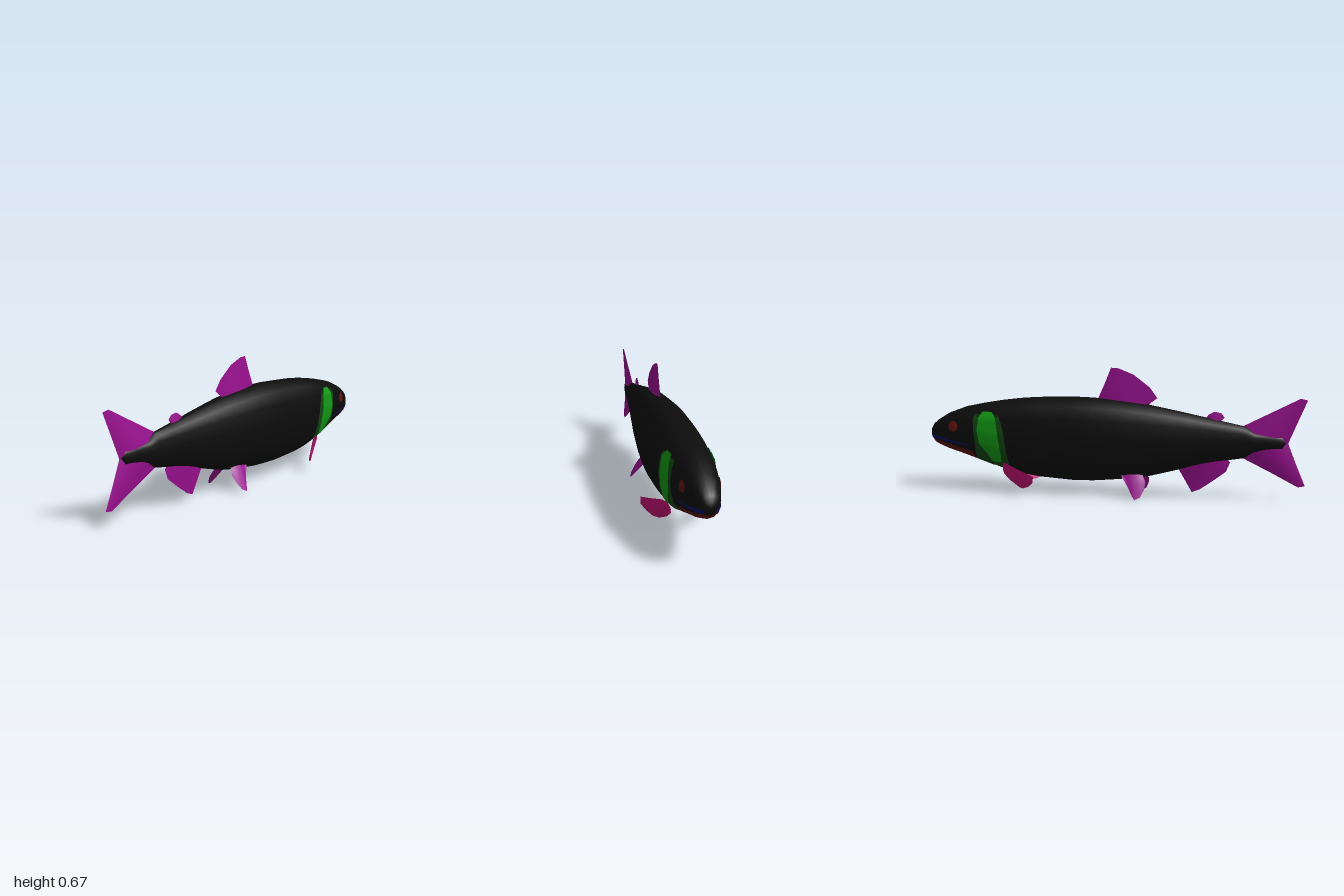
import * as THREE from 'three';

const mat = (name, color, side = THREE.DoubleSide) => {
  const m = new THREE.MeshStandardMaterial({ color, side });
  m.name = name;
  return m;
};

// Body stations: z, top y, bottom y, half width (head is at -z)
const STATIONS = [
  [-1, 0.335, 0.285, 0.025], [-0.985, 0.36, 0.262, 0.042], [-0.96, 0.382, 0.246, 0.057],
  [-0.9, 0.418, 0.222, 0.076], [-0.8, 0.455, 0.19, 0.092], [-0.7, 0.476, 0.155, 0.107],
  [-0.6, 0.493, 0.12, 0.117], [-0.5, 0.506, 0.096, 0.119], [-0.4, 0.514, 0.081, 0.12],
  [-0.2, 0.52, 0.068, 0.12], [-0.1, 0.517, 0.071, 0.118], [0, 0.51, 0.08, 0.113],
  [0.1, 0.499, 0.091, 0.106], [0.2, 0.485, 0.107, 0.095], [0.3, 0.466, 0.133, 0.083],
  [0.4, 0.446, 0.16, 0.07], [0.5, 0.425, 0.184, 0.057], [0.6, 0.404, 0.205, 0.045],
  [0.69, 0.386, 0.22, 0.034], [0.74, 0.355, 0.25, 0.028], [0.82, 0.345, 0.26, 0.022], [0.88, 0.338, 0.268, 0.016],
];
// Right half of the unit cross-section, top to bottom
const SECTION = [[0, 1], [0.375, 0.96], [0.725, 0.8], [0.94, 0.52], [1, 0.08],
  [0.94, -0.32], [0.79, -0.65], [0.46, -0.9], [0, -1]];

// Linear lookup of table rows by one rising column
function lookup(rows, key, value) {
  const i = Math.max(1, Math.min(rows.length - 1, rows.findIndex((r) => r[key] >= value)));
  const a = rows[i - 1], b = rows[i];
  const t = THREE.MathUtils.clamp((value - a[key]) / (b[key] - a[key]), 0, 1);
  return a.map((v, k) => v + (b[k] - v) * t);
}
const SECTION_UP = [...SECTION].reverse();

// Point on the flank at a given z and y, lifted outward a little
function flank(z, y, lift, side) {
  const [, top, bottom, w] = lookup(STATIONS, 0, z);
  const cy = (top + bottom) / 2, h = (top - bottom) / 2;
  const yu = THREE.MathUtils.clamp((y - cy) / h, -1, 1);
  const xu = lookup(SECTION_UP, 1, yu)[0];
  return [side * xu * (w + lift), cy + yu * (h + lift), z];
}

// Smooth surface through a grid of points f(i, j)
function grid(f, nu, nv) {
  const pos = [], idx = [];
  for (let i = 0; i <= nu; i++) for (let j = 0; j <= nv; j++) {
    pos.push(...f(i, j));
    if (i < nu && j < nv) {
      const a = i * (nv + 1) + j, b = a + nv + 1;
      idx.push(a, b, a + 1, b, b + 1, a + 1);
    }
  }
  const g = new THREE.BufferGeometry();
  g.setAttribute('position', new THREE.Float32BufferAttribute(pos, 3));
  g.setIndex(idx);
  g.computeVertexNormals();
  return g;
}

function bodyGeometry() {
  const loop = [...SECTION, ...SECTION.slice(1, -1).reverse().map(([x, y]) => [-x, y])];
  const n = loop.length, pos = [], idx = [];
  for (const [z, top, bottom, w] of STATIONS)
    for (const [x, y] of loop) pos.push(x * w, (top + bottom) / 2 + y * (top - bottom) / 2, z);
  const last = (STATIONS.length - 1) * n, nose = last + n, end = nose + 1;
  pos.push(0, 0.31, -1.003, 0, 0.303, 0.9);
  for (let j = 0; j < n; j++) {
    const k = (j + 1) % n;
    for (let o = 0; o < last; o += n) idx.push(o + j, o + k, o + n + j, o + k, o + n + k, o + n + j);
    idx.push(nose, k, j, end, last + j, last + k);
  }
  const g = new THREE.BufferGeometry();
  g.setAttribute('position', new THREE.Float32BufferAttribute(pos, 3));
  g.setIndex(idx);
  g.computeVertexNormals();
  return g;
}

// Fin spanning a root line to an outer edge, thick at the root and sharp at the rim
function fin(name, root, edge, thickness, normal, material) {
  const group = new THREE.Group();
  group.name = name;
  const n = edge.length - 1;
  for (const s of [1, -1]) {
    const g = grid((i, j) => {
      const v = j / 4, r = root(i / n);
      const t = s * thickness * Math.sqrt(Math.sin(Math.PI * i / n) + 1e-6) * (1 - v);
      return r.map((c, k) => c + (edge[i][k] - c) * v + normal[k] * t);
    }, n, 4);
    const mesh = new THREE.Mesh(g, material);
    mesh.name = name + 'Side';
    group.add(mesh);
  }
  return group;
}
const line = (a, b) => (t) => a.map((v, k) => v + (b[k] - v) * t);
const flat = (pts) => pts.map(([z, y]) => [0, y, z]);

export function createModel() {
  const fish = new THREE.Group();
  fish.name = 'fish';
  const black = mat('bodyBlack', 0x0c0c0c), purple = mat('finPurple', 0x9a1090);
  const pink = mat('pectoralPink', 0xc81274), green = mat('gillGreen', 0x129a14);
  const darkGreen = mat('gillDarkGreen', 0x124612), red = mat('jawRed', 0x621412);
  const blue = mat('mouthBlue', 0x0c0c66);
  const add = (name, geometry, material) => {
    const m = new THREE.Mesh(geometry, material);
    m.name = name;
    fish.add(m);
  };
  add('body', bodyGeometry(), black);

  // Fins on the centre line
  const X = [1, 0, 0];
  fish.add(fin('dorsalFin', line([0, 0.47, -0.05], [0, 0.45, 0.17]), flat([[-0.075, 0.51], [-0.035, 0.6],
    [-0.005, 0.675], [0.035, 0.672], [0.115, 0.64], [0.2, 0.575], [0.24, 0.52], [0.18, 0.485]]), 0.015, X, purple));
  fish.add(fin('adiposeFin', line([0, 0.39, 0.5], [0, 0.39, 0.56]), flat([[0.49, 0.42], [0.505, 0.44],
    [0.535, 0.457], [0.57, 0.45], [0.588, 0.428], [0.56, 0.41]]), 0.012, X, purple));
  fish.add(fin('analFin', line([0, 0.2, 0.36], [0, 0.22, 0.6]), flat([[0.355, 0.15], [0.39, 0.09],
    [0.425, 0.03], [0.465, 0.045], [0.535, 0.095], [0.6, 0.145], [0.62, 0.195]]), 0.02, X, purple));
  fish.add(fin('tailUpperLobe', line([0, 0.303, 0.62], [0, 0.303, 0.9]), flat([[0.68, 0.385], [0.83, 0.463],
    [0.965, 0.533], [1, 0.525], [0.955, 0.415], [0.91, 0.303]]), 0.02, X, purple));
  fish.add(fin('tailLowerLobe', line([0, 0.303, 0.62], [0, 0.303, 0.9]), flat([[0.68, 0.222], [0.83, 0.148],
    [0.965, 0.078], [1, 0.085], [0.955, 0.19], [0.91, 0.303]]), 0.02, X, purple));

  for (const s of [1, -1]) {
    const side = s > 0 ? 'left' : 'right';
    const mirror = (pts) => pts.map(([x, y, z]) => [s * x, y, z]);

    // Paired fins
    fish.add(fin(side + 'PelvicFin', line([s * 0.045, 0.125, 0.06], [s * 0.04, 0.12, 0.17]), mirror([
      [0.06, 0.115, 0.06], [0.085, 0.06, 0.1], [0.11, 0.02, 0.125], [0.122, 0.002, 0.14], [0.113, 0.015, 0.168],
      [0.09, 0.05, 0.185], [0.065, 0.085, 0.19]]), 0.012, [s * 0.85, 0.5, 0], purple));
    fish.add(fin(side + 'PectoralFin', line([s * 0.095, 0.165, -0.57], [s * 0.065, 0.11, -0.575]), mirror([
      [0.1, 0.17, -0.565], [0.14, 0.14, -0.47], [0.172, 0.115, -0.385], [0.172, 0.08, -0.39], [0.15, 0.055, -0.42],
      [0.125, 0.04, -0.455], [0.1, 0.038, -0.48], [0.075, 0.07, -0.54], [0.065, 0.105, -0.58]]),
      0.01, [s * 0.75, -0.5, -0.4], pink));

    // Gill plates: rows of y, rear z, front z
    const plate = (rows, lift) => grid((i, j) => {
      const [y, back, front] = lookup(rows, 0, rows[0][0] + (rows.at(-1)[0] - rows[0][0]) * i / 16);
      return flank(back + (front - back) * j / 8, y, lift, s);
    }, 16, 8);
    add(side + 'GillRim', plate([[0.15, -0.56, -0.725], [0.17, -0.54, -0.73], [0.24, -0.55, -0.725],
      [0.33, -0.56, -0.73], [0.4, -0.58, -0.735], [0.425, -0.595, -0.73], [0.442, -0.63, -0.7]], 0.004), darkGreen);
    add(side + 'GillCover', plate([[0.175, -0.58, -0.635], [0.22, -0.58, -0.655], [0.27, -0.585, -0.7],
      [0.34, -0.595, -0.71], [0.41, -0.605, -0.7], [0.435, -0.63, -0.68]], 0.007), green);

    // Lower jaw, mouth stripe and eye
    add(side + 'LowerJaw', grid((i, j) => {
      const t = i / 18, z = -0.995 + 0.265 * t, top = 0.284 - 0.06 * t;
      const low = lookup(STATIONS, 0, z)[2];
      return flank(z + 0.015 * (1 - j / 12) * -t, top + (low - top) * j / 12, 0.004, s);
    }, 18, 12), red);
    add(side + 'MouthStripe', grid((i, j) => {
      const t = i / 18;
      return flank(-0.997 + 0.235 * t, 0.306 - 0.046 * t - 0.018 * (1 - 0.6 * t) * j / 2, 0.004, s);
    }, 18, 2), blue);
    add(side + 'Eye', grid((i, j) => {
      const a = j / 20 * Math.PI * 2, r = 0.028 * i / 4;
      return flank(-0.853 + r * Math.cos(a), 0.353 + r * Math.sin(a), 0.008 - 0.004 * i / 4, s);
    }, 4, 20), red);
  }
  return fish;
}
